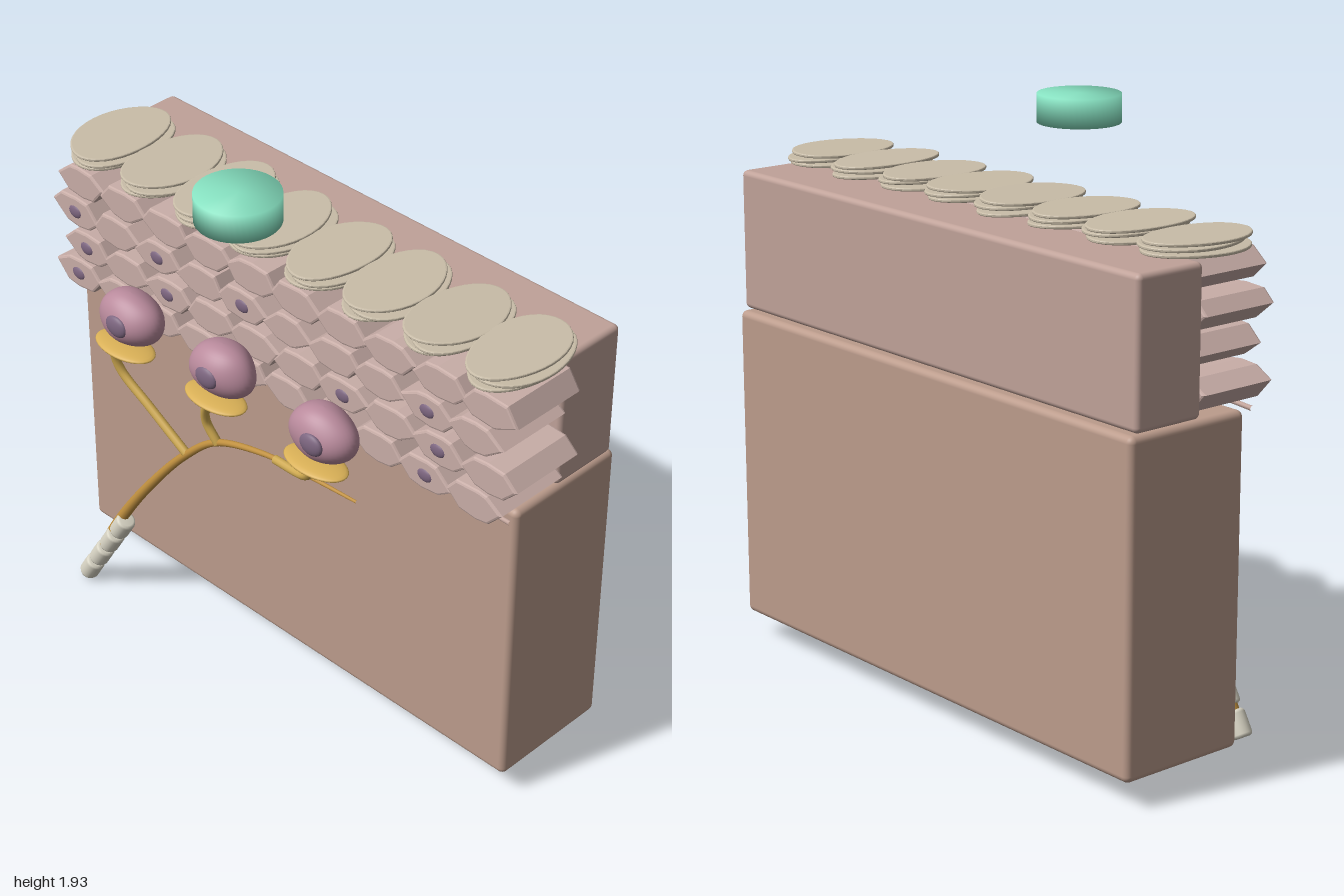
import * as THREE from 'three';
import { RoundedBoxGeometry } from 'three/addons/geometries/RoundedBoxGeometry.js';

const material = (color) => new THREE.MeshStandardMaterial({ color });
const V = (x, y, z) => new THREE.Vector3(x, y, z);

const mats = {
  dermis: material(0xbc9c8c),
  epidermis: material(0xc0a299),
  cell: material(0xc9aea8),
  nucleus: material(0x7d6680),
  touchCell: material(0xb98a9c),
  flake: material(0xc9bda8),
  nerve: material(0xc0903f),
  branch: material(0xcda850),
  disc: material(0xd9b056),
  sheath: material(0xd8d4c4),
  probe: material(0x86e0c0),
};

// Small repeatable random source
let seed = 7;
function rand(range) {
  seed = (seed * 16807) % 2147483647;
  return (seed / 2147483647 - 0.5) * 2 * range;
}

function add(parent, name, geometry, mat, x = 0, y = 0, z = 0) {
  const mesh = new THREE.Mesh(geometry, mat);
  mesh.name = name;
  mesh.position.set(x, y, z);
  parent.add(mesh);
  return mesh;
}

// Tube whose radius runs from r0 to r1
function taperedTube(points, r0, r1, steps = 48) {
  const curve = new THREE.CatmullRomCurve3(points);
  const sides = 12;
  const geo = new THREE.TubeGeometry(curve, steps, 1, sides);
  const pos = geo.attributes.position;
  const p = V(0, 0, 0);
  for (let i = 0; i <= steps; i++) {
    const c = curve.getPointAt(i / steps);
    const r = r0 + (r1 - r0) * (i / steps);
    for (let j = 0; j <= sides; j++) {
      const k = i * (sides + 1) + j;
      p.fromBufferAttribute(pos, k).sub(c).multiplyScalar(r).add(c);
      pos.setXYZ(k, p.x, p.y, p.z);
    }
  }
  return geo;
}

// Irregular flattened hexagon, extruded along z
function cellGeometry(w, h, depth) {
  const b = 0.008;
  const a = w / 2 - b, t = h / 2 - b;
  const shape = new THREE.Shape([
    [a, rand(0.012)], [a * 0.55 + rand(0.015), t * 0.9], [rand(0.02), t],
    [-a * 0.55 + rand(0.015), t * 0.9], [-a, rand(0.012)],
    [-a * 0.5 + rand(0.015), -t * 0.85], [rand(0.02), -t], [a * 0.5 + rand(0.015), -t * 0.85],
  ].map(([x, y]) => new THREE.Vector2(x, y)));
  return new THREE.ExtrudeGeometry(shape, {
    depth: depth - 2 * b, bevelThickness: b, bevelSize: b, bevelSegments: 2,
  }).translate(0, 0, b - depth / 2);
}

// Thin oval plate lying flat, long in z
function flakeGeometry(rx, rz) {
  const phase = rand(3);
  const pts = [];
  for (let i = 0; i < 36; i++) {
    const a = (i / 36) * Math.PI * 2;
    const k = 1 + 0.025 * Math.sin(3 * a + phase);
    pts.push(new THREE.Vector2(Math.cos(a) * rx * k, Math.sin(a) * rz * k));
  }
  return new THREE.ExtrudeGeometry(new THREE.Shape(pts), {
    depth: 0.005, bevelThickness: 0.003, bevelSize: 0.005, bevelSegments: 2,
  }).rotateX(-Math.PI / 2);
}

// Gently lumpy ellipsoid
function lumpyGeometry(rx, ry, rz, phase) {
  const geo = new THREE.SphereGeometry(1, 40, 28);
  const pos = geo.attributes.position;
  for (let i = 0; i < pos.count; i++) {
    const x = pos.getX(i), y = pos.getY(i), z = pos.getZ(i);
    const k = 1 + 0.035 * Math.sin(3 * x + phase) * Math.cos(3 * y - phase) + 0.025 * Math.sin(4 * z + 2 * x);
    pos.setXYZ(i, x * rx * k, y * ry * k, z * rz * k);
  }
  geo.computeVertexNormals();
  return geo;
}

function buildCells(root) {
  const group = new THREE.Group();
  group.name = 'skinCells';
  const rows = [
    { y: 1.565, x: -0.845, nuclei: [] },
    { y: 1.445, x: -0.885, nuclei: [0, 2, 4, 8] },
    { y: 1.325, x: -0.835, nuclei: [0, 2, 6, 8] },
    { y: 1.208, x: -0.885, nuclei: [0, 8] },
  ];
  for (const row of rows) {
    for (let i = 0; i < 10; i++) {
      const x = row.x + i * 0.193 + rand(0.006);
      add(group, 'skinCell', cellGeometry(0.212, 0.108, 0.278), mats.cell, x, row.y, 0.032);
      if (row.nuclei.includes(i)) {
        const n = add(group, 'cellNucleus', new THREE.SphereGeometry(1, 16, 10), mats.nucleus, x, row.y, 0.168);
        n.scale.set(0.03, 0.023, 0.01);
      }
    }
  }
  root.add(group);
}

function buildFlakes(root) {
  const group = new THREE.Group();
  group.name = 'surfaceFlakes';
  for (let layer = 0; layer < 3; layer++) {
    for (let i = 0; i < 8; i++) {
      const x = -0.865 + i * 0.244 + (layer === 1 ? 0.018 : 0) + rand(0.004);
      const flake = add(group, 'flake', flakeGeometry(0.118, 0.186), mats.flake, x, 1.626 + layer * 0.017, -0.023);
      flake.rotation.set(rand(0.02), rand(0.06), rand(0.03));
    }
  }
  root.add(group);
}

function buildNerve(root) {
  const group = new THREE.Group();
  group.name = 'nerve';
  const z = 0.24;
  add(group, 'nerveTrunk', taperedTube([
    V(-0.82, 0.035, z), V(-0.645, 0.36, z), V(-0.48, 0.6, z), V(-0.31, 0.805, z), V(-0.166, 0.93, z),
    V(0.05, 1.0, z), V(0.24, 1.018, z), V(0.45, 1.03, z),
  ], 0.024, 0.005, 80), mats.nerve);
  const branches = [
    [V(-0.31, 0.81, z), V(-0.48, 0.91, z), V(-0.6, 1.0, 0.25), V(-0.615, 1.08, 0.265), V(-0.54, 1.145, 0.285)],
    [V(-0.16, 0.93, z), V(-0.2, 1.0, 0.25), V(-0.185, 1.07, 0.265), V(-0.12, 1.155, 0.285)],
    [V(0.1, 1.005, z), V(0.23, 1.02, 0.25), V(0.275, 1.06, 0.265), V(0.305, 1.14, 0.285)],
  ];
  for (const pts of branches) add(group, 'nerveBranch', taperedTube(pts, 0.015, 0.015), mats.branch);

  // Rounded sheath segments strung on the lower trunk
  const profile = [[0, -0.045], [0.024, -0.045], [0.031, -0.041], [0.034, -0.033],
    [0.034, 0.033], [0.031, 0.041], [0.024, 0.045], [0, 0.045]].map(([r, y]) => new THREE.Vector2(r, y));
  for (let i = 0; i < 4; i++) {
    const s = add(group, 'sheathSegment', new THREE.LatheGeometry(profile, 24), mats.sheath,
      -0.81 + i * 0.057, 0.057 + i * 0.091, 0.245);
    s.rotation.z = -0.54;
  }
  root.add(group);
}

function buildTouchCells(root) {
  [[-0.53, 1.247, 0.01], [-0.112, 1.257, 0.004], [0.325, 1.238, 0.02]].forEach(([x, y, dx], i) => {
    const group = new THREE.Group();
    group.name = 'touchCell';
    group.position.set(x, y, 0.255);
    add(group, 'touchCellBody', lumpyGeometry(0.122, 0.092, 0.086, i * 1.3), mats.touchCell);
    const n = add(group, 'touchCellNucleus', new THREE.SphereGeometry(1, 24, 14), mats.nucleus, dx, 0.003, 0.075);
    n.scale.set(0.046, 0.038, 0.018);
    const d = add(group, 'nerveDisc', new THREE.SphereGeometry(1, 32, 14), mats.disc, 0, -0.098, 0.033);
    d.scale.set(0.122, 0.016, 0.068);
    root.add(group);
  });
}

export function createModel() {
  const root = new THREE.Group();
  root.name = 'skinTouchSection';

  // Deep and upper skin blocks
  add(root, 'deepSkinBlock', new RoundedBoxGeometry(1.925, 1.06, 0.45, 4, 0.022), mats.dermis, -0.03, 0.62, -0.165);
  add(root, 'upperSkinBlock', new RoundedBoxGeometry(1.925, 0.465, 0.252, 4, 0.018), mats.epidermis, -0.03, 1.387, -0.243);

  buildCells(root);
  buildFlakes(root);

  // Thin wavy membrane under the cells
  const wave = [];
  for (let i = 0; i <= 16; i++) wave.push(V(-0.985 + i * 0.12, 1.146 + 0.008 * Math.sin(i * 1.1), 0.095));
  add(root, 'membrane', taperedTube(wave, 0.008, 0.008, 96), mats.epidermis);

  buildNerve(root);
  buildTouchCells(root);

  // Round probe hovering above
  const probe = [[0, -0.046], [0.134, -0.046], [0.134, 0.046], [0, 0.046]].map(([r, y]) => new THREE.Vector2(r, y));
  add(root, 'probe', new THREE.LatheGeometry(probe, 48), mats.probe, -0.027, 1.886, 0.26);
  return root;
}
